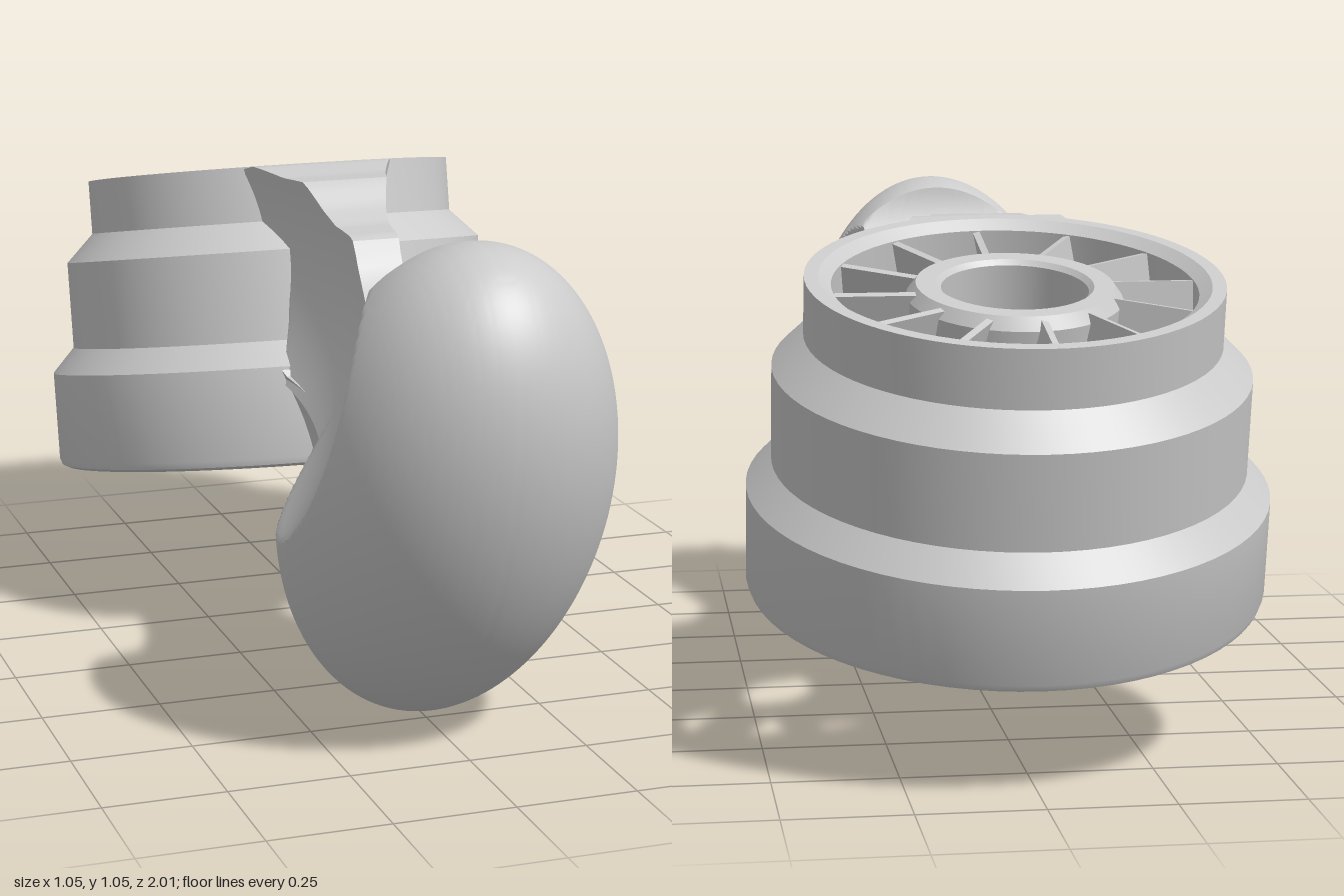
import * as THREE from 'three';
import { toCreasedNormals } from 'three/addons/utils/BufferGeometryUtils.js';

const material = new THREE.MeshStandardMaterial({ color: 0xcccccc, side: THREE.DoubleSide });

function part(name, geometry, crease = 0.5) {
  const mesh = new THREE.Mesh(toCreasedNormals(geometry, crease), material);
  mesh.name = name;
  return mesh;
}

// Half width left by the hollow scooped out of each side
const scoop = (z, y) => 0.05 + 0.62 * (z - 0.2) ** 2 + 0.88 * (y - 0.9) ** 2;

// Round saddle cut across the top, as a circle in the z-y plane
const saddle = { z: 0.41, y: 1.06, r: 0.265 };

// Piecewise linear height along z, points listed with falling z
function along(points, z) {
  for (let i = 1; i < points.length; i++) {
    const [z0, y0] = points[i - 1], [z1, y1] = points[i];
    if (z >= z1) return y0 + (y1 - y0) * Math.min(1, Math.max(0, (z0 - z) / (z0 - z1)));
  }
  return points[points.length - 1][1];
}

// Loft of mirrored sections running along z
function loft(zFront, zBack, bottom, top, width, columns = 48, rows = 16) {
  const position = [], index = [], ring = 2 * (rows + 1);
  for (let i = 0; i <= columns; i++) {
    const z = zFront + (zBack - zFront) * i / columns;
    const y0 = bottom(z), y1 = top(z);
    for (let k = 0; k < ring; k++) {
      const right = k <= rows;
      const y = y0 + (y1 - y0) * (right ? k : ring - 1 - k) / rows;
      position.push((right ? 1 : -1) * width(z, y), y, z);
    }
  }
  for (let i = 0; i < columns; i++) {
    for (let k = 0; k < ring; k++) {
      const a = i * ring + k, b = i * ring + (k + 1) % ring;
      index.push(a, a + ring, b, b, a + ring, b + ring);
    }
  }
  const geometry = new THREE.BufferGeometry();
  geometry.setAttribute('position', new THREE.Float32BufferAttribute(position, 3));
  geometry.setIndex(index);
  geometry.computeVertexNormals();
  return geometry;
}

// Tilted egg with both sides hollowed and the saddle cut in
function eggGeometry() {
  const geometry = new THREE.SphereGeometry(1, 180, 128)
    .rotateZ(Math.PI / 2).scale(0.327, 0.576, 0.334).rotateX(0.53).translate(0, 0.525, 0.59);
  const p = geometry.attributes.position;
  for (let i = 0; i < p.count; i++) {
    let x = p.getX(i), y = p.getY(i), z = p.getZ(i);
    const dz = z - saddle.z, dy = y - saddle.y, d = Math.hypot(dz, dy);
    if (d < saddle.r) {
      z = saddle.z + dz / d * saddle.r;
      y = saddle.y + dy / d * saddle.r;
    }
    x = Math.sign(x) * Math.min(Math.abs(x), scoop(z, y));
    p.setXYZ(i, x, y, z);
  }
  return geometry;
}

// Stepped collar with vanes and a hub, on its own axis
function createCollar() {
  const collar = new THREE.Group();
  collar.name = 'collar';
  const profile = [
    [0.485, 0], [0.508, 0], [0.52, 0.006], [0.525, 0.02], [0.525, 0.215], [0.475, 0.27],
    [0.475, 0.465], [0.413, 0.528], [0.413, 0.648], [0.385, 0.648], [0.36, 0.63],
    [0.36, 0.5], [0.425, 0.44], [0.425, 0.25], [0.47, 0.2], [0.47, 0.03], [0.485, 0],
  ].map(([r, y]) => new THREE.Vector2(r, y));
  collar.add(part('steppedShell', new THREE.LatheGeometry(profile, 72)));

  const hub = [
    [0.145, 0.36], [0.205, 0.36], [0.213, 0.61], [0.195, 0.635],
    [0.155, 0.635], [0.145, 0.625], [0.145, 0.36],
  ].map(([r, y]) => new THREE.Vector2(r, y));
  collar.add(part('hub', new THREE.LatheGeometry(hub, 48)));

  // Slanted vanes between hub and shell
  for (let i = 0; i < 12; i++) {
    const holder = new THREE.Group();
    holder.name = 'vaneHolder';
    holder.rotation.y = i * Math.PI / 6;
    const vane = part('vane', new THREE.BoxGeometry(0.185, 0.26, 0.014));
    vane.position.set(0.285, 0.5, 0);
    vane.rotation.x = -0.22;
    holder.add(vane);
    collar.add(holder);
  }

  // Thread ridges inside the mouth
  for (const y of [0.07, 0.125, 0.18]) {
    const ridge = part('threadRidge', new THREE.TorusGeometry(0.47, 0.016, 6, 72).rotateX(Math.PI / 2));
    ridge.position.y = y;
    collar.add(ridge);
  }
  collar.position.set(0, 0.32, -0.445);
  collar.rotation.x = -0.214;
  return collar;
}

export function createModel() {
  const model = new THREE.Group();
  model.name = 'stepped collar with egg handle';
  model.add(createCollar());
  model.add(part('eggHandle', eggGeometry()));

  // Arm with hollow sides, from the egg to the collar rim
  const armTop = [[0.2, 0.9], [0.175, 0.945], [0.09, 0.955], [0.04, 0.98], [-0.02, 1.03],
    [-0.09, 1.028], [-0.18, 1.04], [-0.21, 1.03]];
  const armBottom = [[0.48, 0.54], [0.29, 0.55], [0.02, 0.6], [-0.03, 0.66], [-0.1, 0.84], [-0.21, 0.94]];
  const topHeight = (z) => z > 0.2
    ? saddle.y - Math.sqrt(saddle.r ** 2 - (z - saddle.z) ** 2)
    : along(armTop, z);
  model.add(part('arm', loft(0.48, -0.21, (z) => along(armBottom, z), topHeight,
    (z, y) => scoop(z, y) - 0.001)));

  // Narrow rib under the arm
  const ribBottom = [[0.32, 0.24], [0.19, 0.29], [0.08, 0.325], [0.055, 0.42], [0.01, 0.45]];
  model.add(part('underRib', loft(0.32, 0.01, (z) => along(ribBottom, z),
    (z) => along(armBottom, z) + 0.02,
    (z, y) => 0.085 + 0.9 * (y - 0.38) ** 2 + 0.6 * (z - 0.15) ** 2, 24, 10)));
  return model;
}
